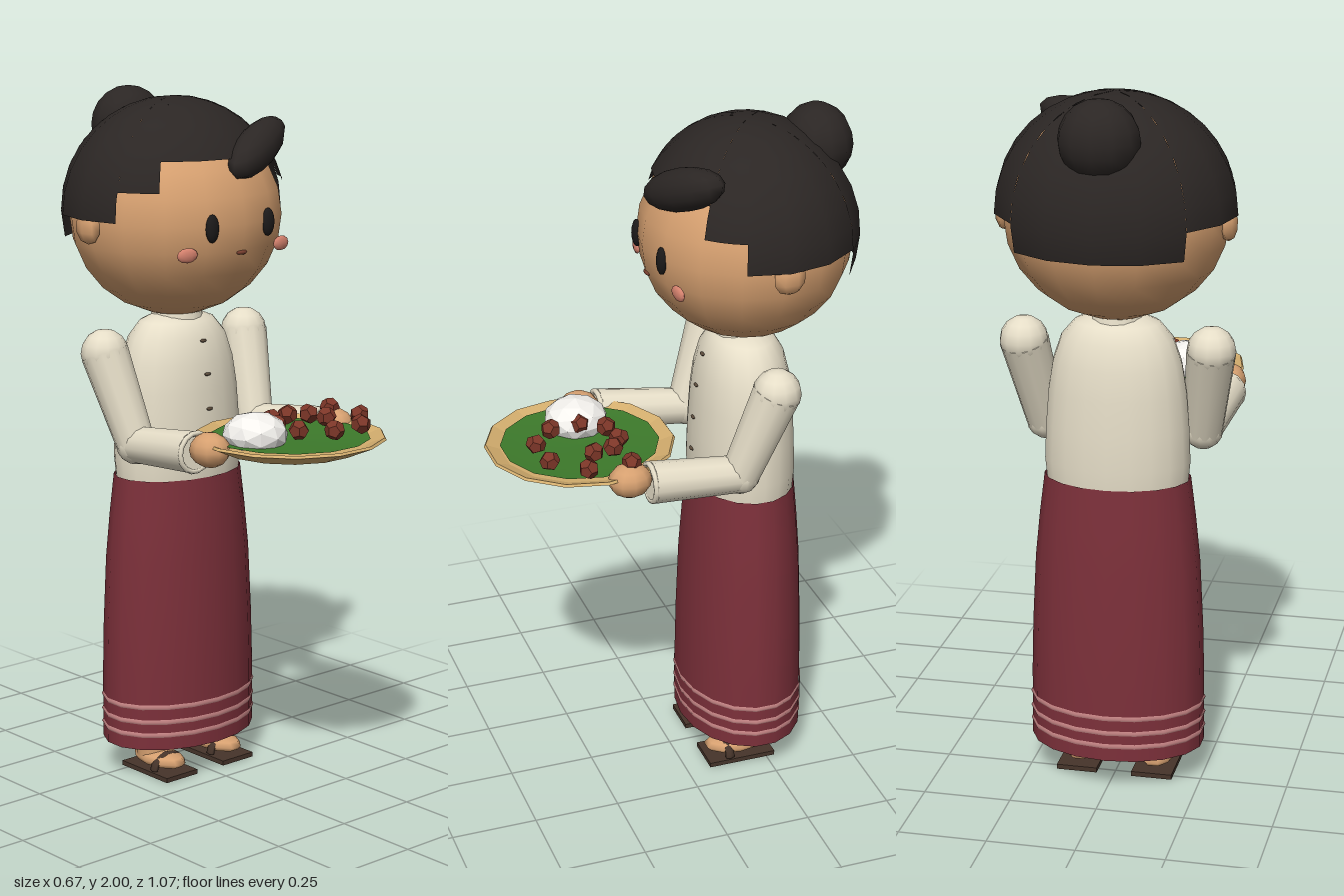
import * as THREE from 'three';

const COLORS = {
  skin: 0xd6a070, hair: 0x2b2624, shirt: 0xe6dec8, skirt: 0x7c303a, stripe: 0xc48484,
  sandal: 0x46342a, straw: 0xd4ae6e, leaf: 0x3d7a2b, rice: 0xf2f0ec, berry: 0x7c3628,
  eye: 0x1c1a1a, cheek: 0xd98470, mouth: 0x7a4030, button: 0x5a4a3a,
};
const BODY_Z = -0.215, DEPTH = 0.72;

function mat(color, flat = false, double = false) {
  return new THREE.MeshStandardMaterial({
    color: COLORS[color], flatShading: flat, side: double ? THREE.DoubleSide : THREE.FrontSide,
  });
}

export function createModel() {
  const root = new THREE.Group();
  root.name = 'girlWithTray';

  function add(name, geometry, material, pos = [0, 0, 0], scale = [1, 1, 1], rot = [0, 0, 0]) {
    const mesh = new THREE.Mesh(geometry, material);
    mesh.name = name;
    mesh.position.set(...pos);
    mesh.scale.set(...scale);
    mesh.rotation.set(...rot);
    root.add(mesh);
    return mesh;
  }
  const ball = (w = 12, h = 8) => new THREE.SphereGeometry(1, w, h);
  const lathe = (pts, n, start = 0) =>
    new THREE.LatheGeometry(pts.map(p => new THREE.Vector2(...p)), n, start);

  // Tapered limb between two points
  function limb(name, a, b, ra, rb, material) {
    const from = new THREE.Vector3(...a), to = new THREE.Vector3(...b);
    const dir = to.clone().sub(from);
    const mesh = add(name, new THREE.CylinderGeometry(rb, ra, dir.length(), 12), material);
    mesh.position.copy(from).addScaledVector(dir, 0.5);
    mesh.quaternion.setFromUnitVectors(new THREE.Vector3(0, 1, 0), dir.normalize());
  }

  const skin = mat('skin'), hair = mat('hair', false, true), shirt = mat('shirt');

  // Head and face
  add('head', ball(16, 12), skin, [0, 1.65, -0.22], [0.31, 0.29, 0.3]);
  add('mouth', ball(8, 6), mat('mouth'), [0, 1.57, 0.066], [0.02, 0.007, 0.008]);
  for (const s of [-1, 1]) {
    add('ear', ball(7, 5), skin, [s * 0.31, 1.637, -0.23], [0.025, 0.048, 0.047]);
    add('eye', ball(10, 8), mat('eye'), [s * 0.104, 1.645, 0.06], [0.022, 0.04, 0.014]);
    add('cheek', ball(10, 6), mat('cheek'), [s * 0.175, 1.575, 0.037], [0.034, 0.021, 0.01], [0, s * 0.16, 0]);
  }

  // Hair cap in sectors: [start angle, end angle, hem height], angles from the front
  const HAIR_Y = 1.66, HAIR_R = 0.325;
  const sectors = [[-45, 45, 1.828], [135, 225, 1.58]];
  for (const s of [0, 1]) {
    const side = (a, b, y) => sectors.push(s ? [360 - b, 360 - a, y] : [a, b, y]);
    side(45, 67.5, 1.745);
    side(67.5, 135, 1.66);
  }
  for (const [a, b, hem] of sectors) {
    const theta = Math.acos((hem - HAIR_Y) / HAIR_R);
    const geo = new THREE.SphereGeometry(1, Math.round((b - a) / 22.5), 8,
      THREE.MathUtils.degToRad(a + 90), THREE.MathUtils.degToRad(b - a), 0, theta);
    add('hairCap', geo, hair, [0, HAIR_Y, -0.228], [0.335, HAIR_R, 0.308]);
  }
  add('hairBun', ball(12, 10), hair, [0, 1.89, -0.428], [0.112, 0.11, 0.1]);
  add('hairFringe', ball(12, 8), hair, [0.115, 1.848, 0], [0.16, 0.06, 0.058], [0, 0.4, 0.36]);

  // Blouse with collar and buttons
  const torso = [[0.2, 0.88], [0.207, 0.95], [0.203, 1.05], [0.195, 1.15], [0.182, 1.23], [0.158, 1.3], [0.12, 1.345], [0.07, 1.365], [0, 1.365]];
  add('blouse', lathe(torso, 20), shirt, [0, 0, BODY_Z], [1, 1, DEPTH]);
  add('collar', new THREE.CylinderGeometry(0.07, 0.08, 0.05, 14), shirt, [0, 1.355, BODY_Z]);
  for (const [y, r] of [[1.295, 0.163], [1.2, 0.188], [1.1, 0.2], [1.0, 0.206]])
    add('button', ball(8, 6), mat('button'), [0, y, BODY_Z + r * DEPTH], [0.012, 0.005, 0.006]);

  // Long skirt with three hem stripes
  const skirtProfile = [[0.25, 0.1], [0.249, 0.3], [0.245, 0.45], [0.235, 0.65], [0.222, 0.78], [0.207, 0.9]];
  add('skirt', lathe(skirtProfile, 18), mat('skirt', false, true), [0, 0, BODY_Z], [1, 1, DEPTH]);
  for (const y of [0.145, 0.185, 0.23])
    add('hemStripe', lathe([[0.25, y - 0.007], [0.254, y], [0.25, y + 0.007]], 18),
      mat('stripe', false, true), [0, 0, BODY_Z], [1, 1, DEPTH]);

  for (const s of [-1, 1]) {
    // Leg, foot and sandal
    const x = s * 0.11;
    limb('leg', [x, 0.04, -0.2], [x, 0.45, -0.2], 0.05, 0.055, skin);
    add('foot', ball(10, 6), skin, [x, 0.042, -0.172], [0.056, 0.026, 0.1]);
    add('sandalSole', new THREE.BoxGeometry(0.118, 0.014, 0.205), mat('sandal'), [x, 0.008, -0.173]);
    add('sandalStrap', new THREE.TorusGeometry(1, 0.16, 6, 14, Math.PI), mat('sandal'),
      [x, 0.02, -0.135], [0.053, 0.042, 0.09]);

    // Sleeve, cuff and hand
    const shoulder = [s * 0.264, 1.276, -0.22], elbow = [s * 0.226, 1.02, -0.13], wrist = [s * 0.238, 1.047, 0.14];
    limb('upperSleeve', shoulder, elbow, 0.069, 0.056, shirt);
    add('shoulder', ball(12, 8), shirt, shoulder, [0.069, 0.069, 0.069]);
    add('elbow', ball(12, 8), shirt, elbow, [0.057, 0.057, 0.057]);
    limb('lowerSleeve', elbow, wrist, 0.053, 0.06, shirt);
    add('cuff', new THREE.TorusGeometry(0.054, 0.008, 6, 14), shirt, wrist);
    add('hand', ball(10, 8), skin, [s * 0.235, 1.064, 0.198], [0.054, 0.049, 0.062]);
  }

  // Woven tray lined with a leaf
  const trayPos = [0, 0, 0.268];
  add('tray', lathe([[0, 1.04], [0.19, 1.043], [0.27, 1.078], [0.265, 1.085], [0.225, 1.07], [0, 1.058]], 14, Math.PI / 14),
    mat('straw', true, true), trayPos);
  add('leafLining', lathe([[0.225, 1.08], [0.16, 1.074], [0, 1.07]], 14, Math.PI / 14), mat('leaf', false, true), trayPos);

  // Food on the tray
  add('riceMound', new THREE.IcosahedronGeometry(1, 1), mat('rice', true), [-0.11, 1.098, 0.245], [0.092, 0.062, 0.092]);
  const berries = [[0, 0.19], [0.075, 0.177], [0.125, 0.21], [0.137, 0.27], [0.227, 0.19], [0.225, 0.313],
    [0.145, 0.4], [0.037, 0.407], [-0.037, 0.342], [-0.04, 0.255]];
  berries.forEach(([x, z], i) =>
    add('berry', new THREE.DodecahedronGeometry(0.029), mat('berry', true), [x, 1.114, z], [1, 1, 1], [0, i * 0.7, 0]));

  return root;
}
